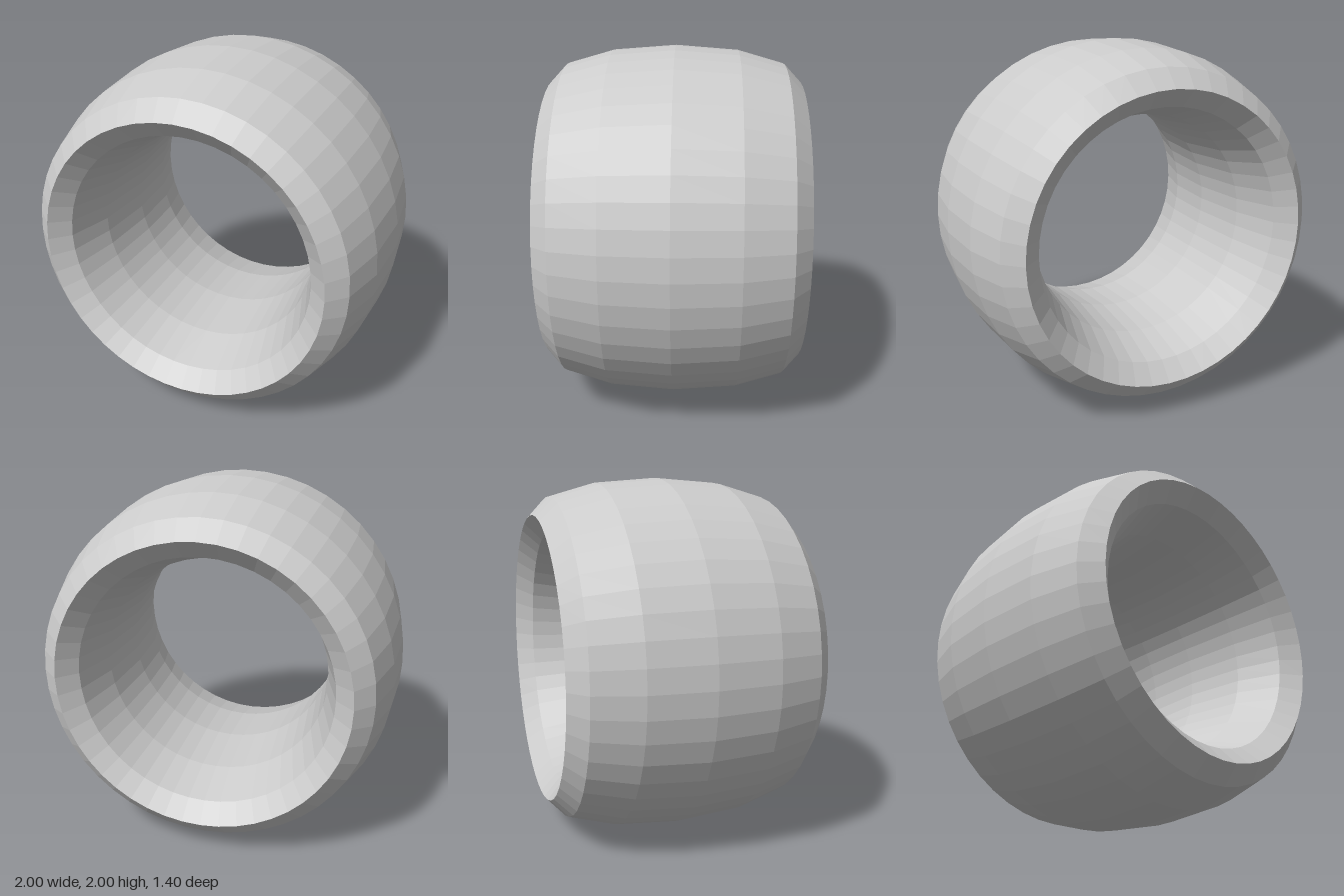
import * as THREE from 'three';

export function createModel() {
  const group = new THREE.Group();
  const material = new THREE.MeshStandardMaterial({ color: 0xcccccc, flatShading: true });

  // Wide ring band: a torus with a 12-sided section, stretched along its axis
  const geometry = new THREE.TorusGeometry(0.8, 0.2, 12, 48);
  geometry.scale(1, 1, 3.5);

  const ring = new THREE.Mesh(geometry, material);
  ring.name = 'ringBand';
  ring.position.y = 1;
  group.add(ring);
  return group;
}
